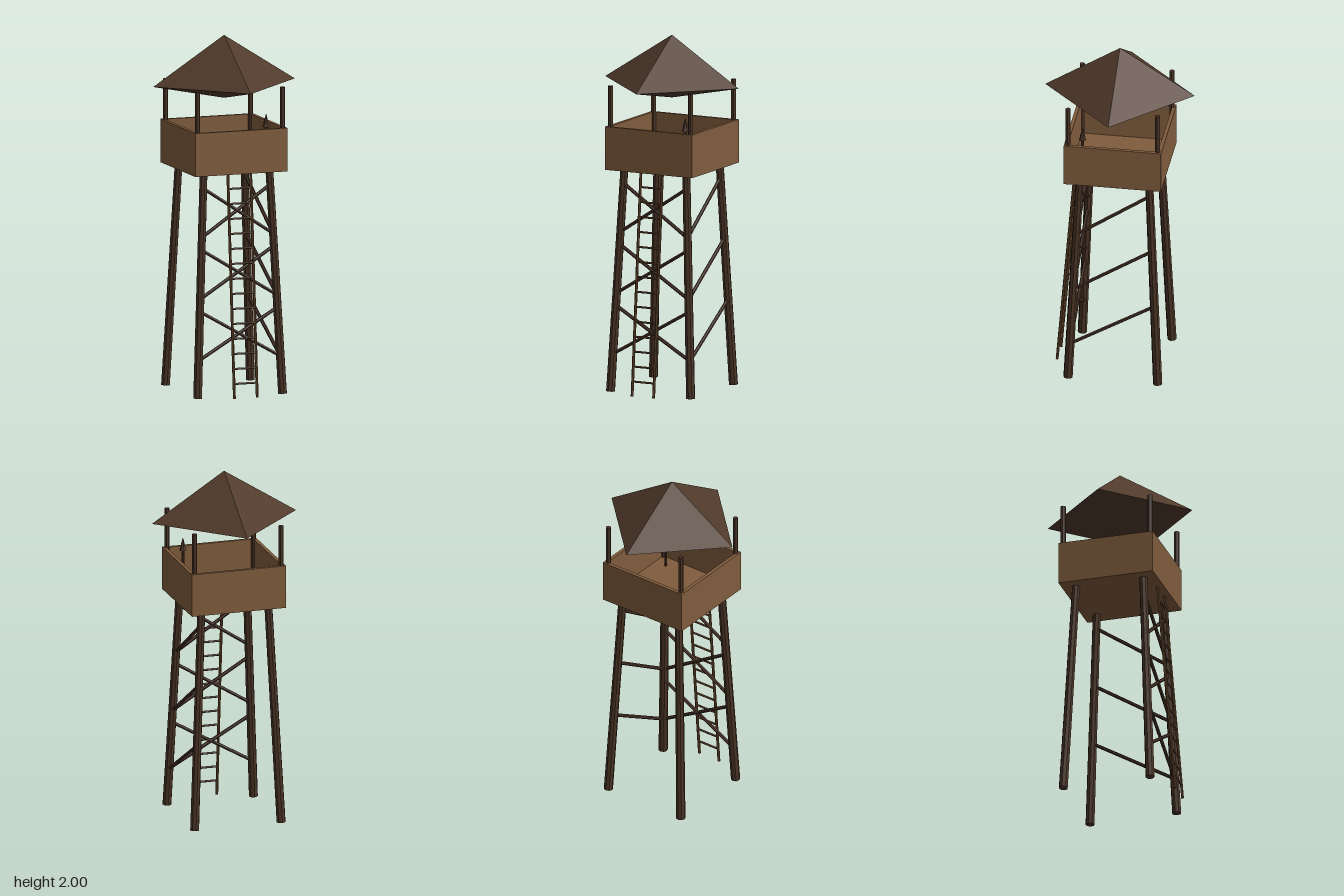
import * as THREE from 'three';

function flat(name, color) {
  const m = new THREE.MeshStandardMaterial({ color, flatShading: true });
  m.name = name;
  return m;
}

export function createModel() {
  const tower = new THREE.Group();
  tower.name = 'watchtower';
  const plank = flat('plank wood', 0x7f5c3c);
  const darkWood = flat('dark timber', 0x4a3426);
  const roofWood = flat('roof wood', 0x503a2b);
  const ladderWood = flat('ladder wood', 0x6b4a2e);

  function add(name, geometry, material, x = 0, y = 0, z = 0) {
    const mesh = new THREE.Mesh(geometry, material);
    mesh.name = name;
    mesh.position.set(x, y, z);
    tower.add(mesh);
    return mesh;
  }

  // Round beam running from point a to point b
  function beam(name, a, b, rBottom, rTop, sides, material) {
    const from = new THREE.Vector3(...a), to = new THREE.Vector3(...b);
    const dir = to.clone().sub(from);
    const mesh = add(name, new THREE.CylinderGeometry(rTop, rBottom, dir.length(), sides), material);
    mesh.position.copy(from).add(to).multiplyScalar(0.5);
    mesh.quaternion.setFromUnitVectors(new THREE.Vector3(0, 1, 0), dir.normalize());
    return mesh;
  }

  const deckY = 1.255, half = 0.275, wallTop = 1.5, eaveY = 1.73;
  const legOffset = (y) => 0.253 - 0.057 * (y / deckY);

  // Leaning legs and upright roof posts
  for (const sx of [-1, 1]) {
    for (const sz of [-1, 1]) {
      const b = legOffset(0), t = legOffset(deckY);
      beam('leg', [sx * b, 0, sz * b], [sx * t, deckY + 0.005, sz * t], 0.026, 0.023, 8, darkWood);
      const post = new THREE.CylinderGeometry(0.015, 0.015, eaveY - deckY - 0.01, 6).rotateY(Math.PI / 6);
      add('roofPost', post, darkWood, sx * 0.253, (eaveY + deckY + 0.01) / 2, sz * 0.253);
    }
  }

  // Crossed braces on the front, single diagonals on the +x side
  for (const low of [0.21, 0.555, 0.9]) {
    const high = low + 0.275;
    const a = legOffset(low), b = legOffset(high);
    for (const s of [-1, 1]) {
      beam('frontBrace', [s * a, low, a], [-s * b, high, b], 0.01, 0.01, 6, darkWood);
    }
    beam('sideBrace', [a, low, a], [b, high, -b], 0.01, 0.01, 6, darkWood);
  }

  // Platform floor and parapet walls
  add('floor', new THREE.BoxGeometry(half * 2, 0.025, half * 2), plank, 0, deckY + 0.0125, 0);
  const wallHeight = wallTop - deckY - 0.025;
  const wallY = wallTop - wallHeight / 2;
  for (const s of [-1, 1]) {
    add('wall', new THREE.BoxGeometry(half * 2, wallHeight, 0.02), plank, 0, wallY, s * (half - 0.01));
    add('sideWall', new THREE.BoxGeometry(0.02, wallHeight, half * 2 - 0.04), plank, s * (half - 0.01), wallY, 0);
  }

  // Four-sided roof with a shallow pointed underside
  add('roof', new THREE.ConeGeometry(0.422, 2 - eaveY, 4, 1, true), roofWood, 0, (2 + eaveY) / 2, 0);
  const underside = new THREE.ConeGeometry(0.422, 0.085, 4, 1, true).rotateX(Math.PI);
  add('roofUnderside', underside, roofWood, 0, eaveY - 0.0425, 0);

  // Leaning ladder
  const ladderZ = (y) => 0.344 - 0.104 * (y / deckY);
  for (const s of [-1, 1]) {
    beam('ladderRail', [s * 0.068, 0, ladderZ(0)], [s * 0.068, deckY, ladderZ(deckY)], 0.008, 0.008, 6, ladderWood);
  }
  for (let i = 1; i <= 14; i++) {
    const y = i * deckY / 15;
    beam('ladderRung', [-0.068, y, ladderZ(y)], [0.068, y, ladderZ(y)], 0.006, 0.006, 6, ladderWood);
  }

  // Torch standing in the front corner
  add('torchShaft', new THREE.CylinderGeometry(0.009, 0.007, 0.23, 6), darkWood, 0.182, 1.395, 0.182);
  add('torchCup', new THREE.CylinderGeometry(0.012, 0.022, 0.018, 6), darkWood, 0.182, 1.507, 0.182);
  add('torchTip', new THREE.ConeGeometry(0.016, 0.06, 6), darkWood, 0.182, 1.545, 0.182);

  return tower;
}
